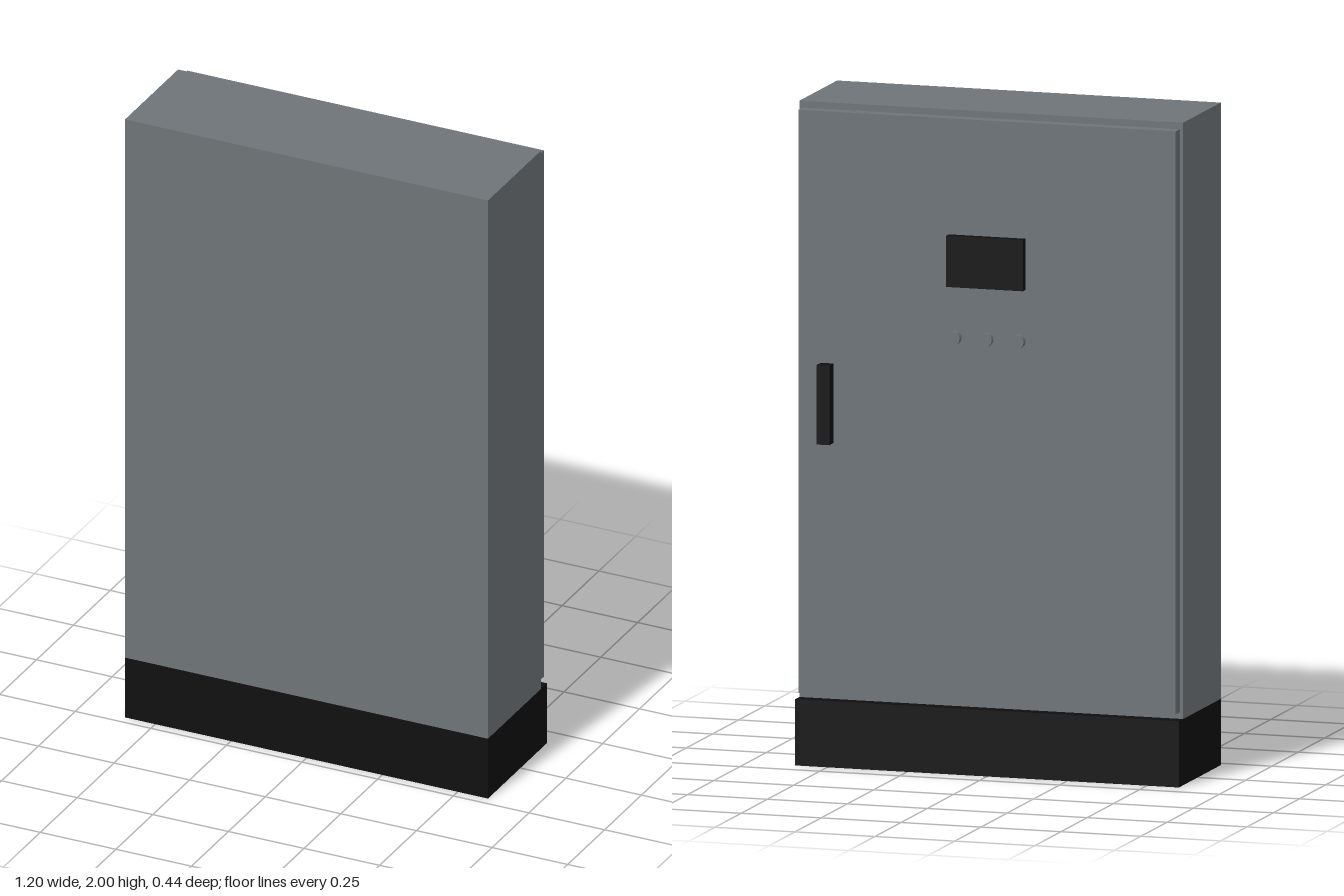
import * as THREE from 'three';

const mat = (name, color) => {
  const m = new THREE.MeshStandardMaterial({ color });
  m.name = name;
  return m;
};

export function createModel() {
  const cabinet = new THREE.Group();
  cabinet.name = 'controlCabinet';
  const grey = mat('steelGrey', 0x6e7478);
  const black = mat('black', 0x0f0f0f);

  // Box given by its limits on each axis
  const box = (name, material, [x0, x1], [y0, y1], [z0, z1]) => {
    const mesh = new THREE.Mesh(new THREE.BoxGeometry(x1 - x0, y1 - y0, z1 - z0), material);
    mesh.position.set((x0 + x1) / 2, (y0 + y1) / 2, (z0 + z1) / 2);
    mesh.name = name;
    cabinet.add(mesh);
  };

  box('plinth', black, [-0.6, 0.6], [0, 0.2], [-0.18, 0.22]);
  box('housing', grey, [-0.6, 0.6], [0.2, 2], [-0.14, 0.22]);

  // Door and its fittings face -z
  box('door', grey, [-0.59, 0.59], [0.22, 1.98], [-0.18, -0.14]);
  box('displayPanel', black, [-0.12, 0.12], [1.475, 1.63], [-0.203, -0.18]);
  box('doorHandle', black, [0.48, 0.52], [0.98, 1.22], [-0.22, -0.18]);

  // Row of round push buttons
  const buttonGeometry = new THREE.CylinderGeometry(0.021, 0.021, 0.02, 12).rotateX(-Math.PI / 2);
  for (const x of [-0.1, 0, 0.1]) {
    const button = new THREE.Mesh(buttonGeometry, grey);
    button.position.set(x, 1.32, -0.19);
    button.name = 'pushButton';
    cabinet.add(button);
  }
  return cabinet;
}
